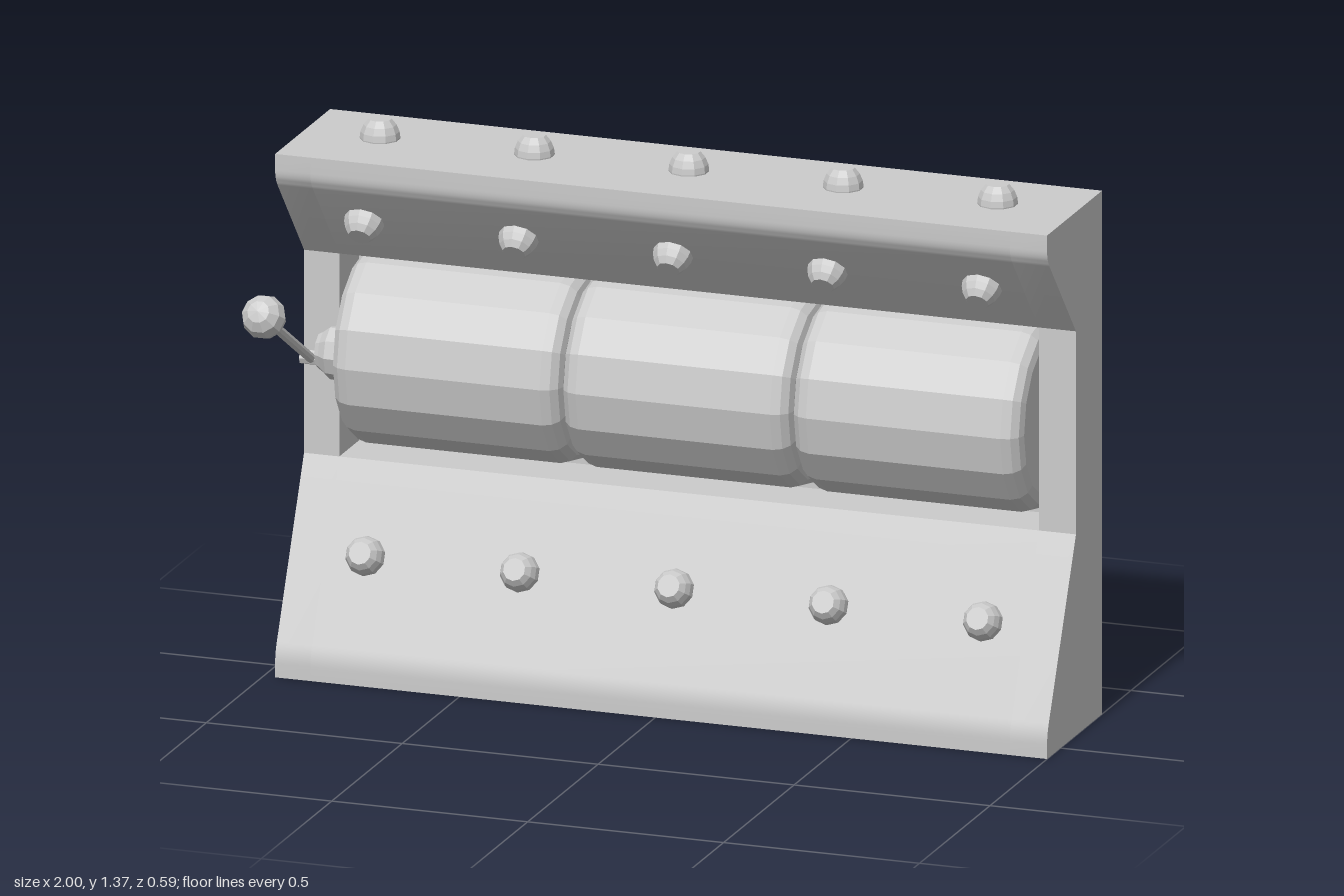
import * as THREE from 'three';
import { toCreasedNormals } from 'three/addons/utils/BufferGeometryUtils.js';

const smooth = new THREE.MeshStandardMaterial({ color: 0xcccccc });
const flat = new THREE.MeshStandardMaterial({ color: 0xcccccc, flatShading: true });
const flatOpen = new THREE.MeshStandardMaterial({ color: 0xcccccc, flatShading: true, side: THREE.DoubleSide });
const points = (list) => list.map(([r, y]) => new THREE.Vector2(r, y));
const UP = new THREE.Vector3(0, 1, 0);

function add(parent, name, geometry, material) {
  const mesh = new THREE.Mesh(geometry, material);
  mesh.name = name;
  parent.add(mesh);
  return mesh;
}

// Side profile (z, y) of the cabinet, extruded from x0 to x1; a pocket deepens the face
function cabinetSection(x0, x1, pocketZ) {
  const s = new THREE.Shape();
  s.moveTo(-0.295, 0);
  s.lineTo(0.095, 0);
  s.lineTo(0.095, 0.035);
  s.quadraticCurveTo(0.095, 0.06, 0.083, 0.086);
  s.lineTo(-0.11, 0.505);
  if (pocketZ !== undefined) {
    s.lineTo(pocketZ, 0.505);
    s.lineTo(pocketZ, 1.015);
  }
  s.lineTo(-0.11, 1.015);
  s.lineTo(0.078, 1.232);
  s.quadraticCurveTo(0.095, 1.252, 0.095, 1.275);
  s.lineTo(0.095, 1.315);
  s.lineTo(-0.295, 1.315);
  s.closePath();
  const g = new THREE.ExtrudeGeometry(s, { depth: x1 - x0, bevelEnabled: false, curveSegments: 5 });
  g.rotateY(-Math.PI / 2);
  g.translate(x1, 0, 0);
  return toCreasedNormals(g, 0.3);
}

export function createModel() {
  const model = new THREE.Group();
  model.name = 'reelMachine';

  // Cabinet: solid ends either side of the pocket
  const cabinet = new THREE.Group();
  cabinet.name = 'cabinet';
  model.add(cabinet);
  add(cabinet, 'rightEnd', cabinetSection(-0.97, -0.88), smooth);
  add(cabinet, 'pocketSection', cabinetSection(-0.88, 0.905, -0.25), smooth);
  add(cabinet, 'leftEnd', cabinetSection(0.905, 1), smooth);

  // Three half reels with rounded rims, facing forward
  const h = 0.293;
  const reelProfile = points([
    [0, -h], [0.2, -h], [0.222, -h + 0.006], [0.238, -h + 0.022], [0.245, -h + 0.045],
    [0.245, h - 0.045], [0.238, h - 0.022], [0.222, h - 0.006], [0.2, h], [0, h],
  ]);
  const reelGeometry = new THREE.LatheGeometry(reelProfile, 8, -Math.PI / 2, Math.PI);
  reelGeometry.rotateZ(-Math.PI / 2);
  for (let i = 0; i < 3; i++) {
    add(model, 'reel', reelGeometry, flatOpen).position.set(-0.578 + i * 0.588, 0.76, -0.245);
  }

  // Three rows of domed studs, each row standing out along its own panel
  const studGeometry = new THREE.LatheGeometry(
    points([[0.046, -0.02], [0.049, 0], [0.047, 0.015], [0.04, 0.032], [0.028, 0.047], [0, 0.047]]), 10);
  const rows = [
    { name: 'topStud', y: 1.318, z: -0.11, normal: [0, 1, 0] },
    { name: 'upperStud', y: 1.14, z: 0, normal: [0, -0.65, 0.76] },
    { name: 'lowerStud', y: 0.295, z: -0.008, normal: [0, 0.42, 0.91] },
  ];
  for (const row of rows) {
    const normal = new THREE.Vector3(...row.normal).normalize();
    for (let i = 0; i < 5; i++) {
      const stud = add(model, row.name, studGeometry, flat);
      stud.position.set(-0.776 + i * 0.394, row.y, row.z);
      stud.quaternion.setFromUnitVectors(UP, normal);
    }
  }

  // Lever: hub, pivot, rod and ball on the model's right
  const lever = new THREE.Group();
  lever.name = 'lever';
  model.add(lever);
  const hubGeometry = new THREE.LatheGeometry(
    points([[0, -0.03], [0.07, -0.03], [0.068, 0.0], [0.052, 0.02], [0.045, 0.032], [0, 0.032]]), 10);
  hubGeometry.rotateZ(Math.PI / 2);
  add(lever, 'hub', hubGeometry, flat).position.set(-0.9, 0.765, -0.12);
  const pivotGeometry = new THREE.CylinderGeometry(0.018, 0.018, 0.06, 8);
  pivotGeometry.rotateZ(Math.PI / 2);
  add(lever, 'pivot', pivotGeometry, flat).position.set(-0.943, 0.75, -0.1);

  const foot = new THREE.Vector3(-0.945, 0.745, -0.1);
  const tip = new THREE.Vector3(-0.945, 0.951, 0.244);
  const direction = tip.clone().sub(foot);
  const rod = add(lever, 'rod', new THREE.CylinderGeometry(0.012, 0.012, direction.length(), 8), flat);
  rod.position.copy(foot).lerp(tip, 0.5);
  rod.quaternion.setFromUnitVectors(UP, direction.normalize());
  const ball = add(lever, 'ball', new THREE.SphereGeometry(0.055, 10, 6), flat);
  ball.position.copy(tip);
  ball.quaternion.copy(rod.quaternion);

  return model;
}
